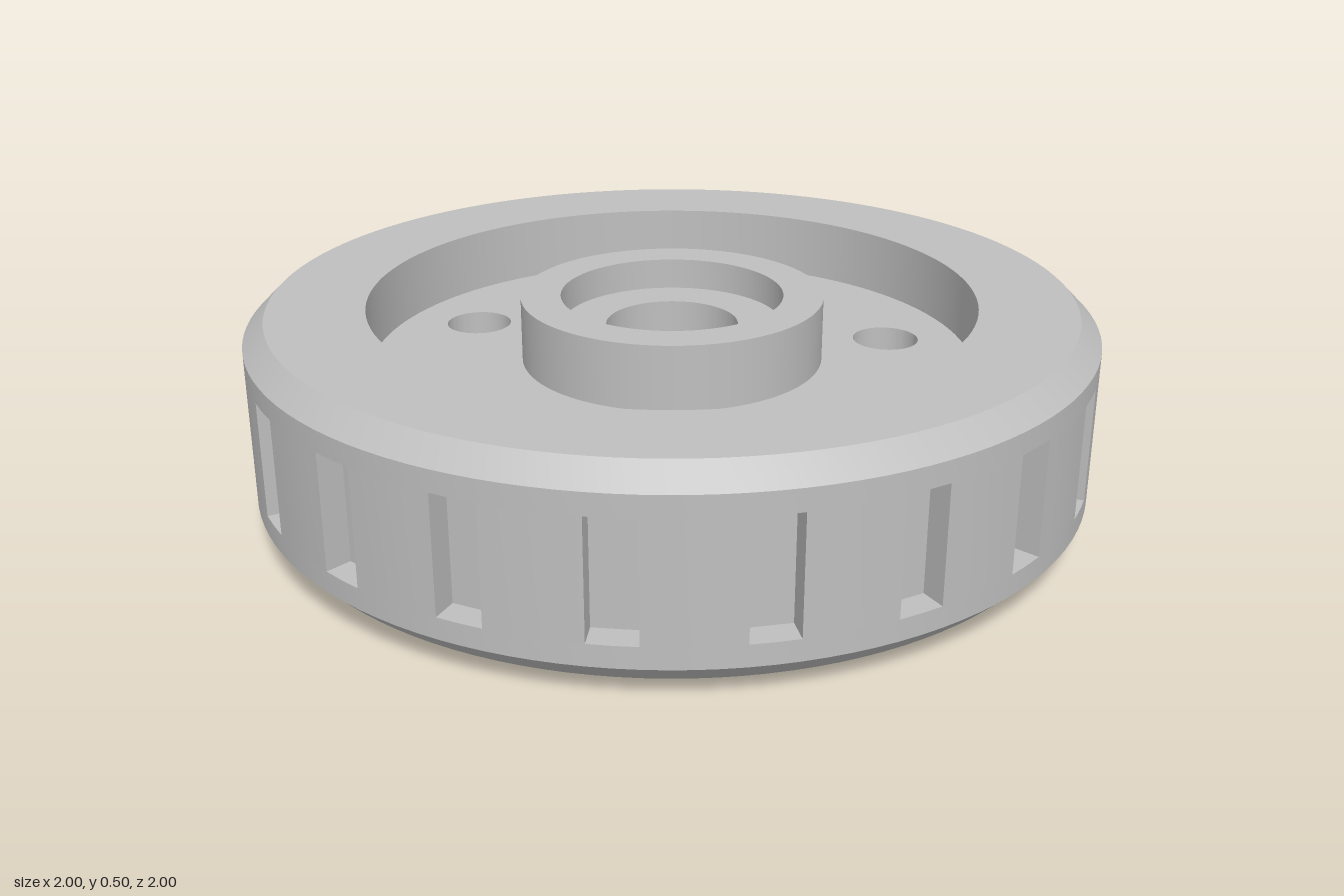
import * as THREE from 'three';
import { toCreasedNormals } from 'three/addons/utils/BufferGeometryUtils.js';

const SLOTS = 20, SEGMENTS = 120, CREASE = 0.5;
const SLOT_LOW = 0.135, SLOT_HIGH = 0.405, SLOT_FLOOR = 0.937;

// closed or open profile of [radius, height] pairs, spun about y
function spin(profile) {
  const points = profile.map(([r, y]) => new THREE.Vector2(r, y));
  return toCreasedNormals(new THREE.LatheGeometry(points, SEGMENTS), CREASE);
}

// flat shape raised from y = low to y = high
function raise(shape, low, high) {
  const g = new THREE.ExtrudeGeometry(shape, { depth: high - low, bevelEnabled: false, curveSegments: 30 });
  g.rotateX(-Math.PI / 2);
  g.translate(0, low, 0);
  return toCreasedNormals(g, CREASE);
}

function circleHole(x, y, r) {
  return new THREE.Path().absarc(x, y, r, 0, Math.PI * 2, true);
}

// outline of the tread band: arcs between parallel-sided, flat-floored slots
function slottedShape() {
  const pitch = Math.PI * 2 / SLOTS, half = Math.PI / 60;
  const halfWidth = Math.sin(half), points = [];
  for (let i = 0; i < SLOTS; i++) {
    const a = i * pitch, c = Math.cos(a), s = Math.sin(a);
    for (const w of [-halfWidth, halfWidth]) {
      points.push(new THREE.Vector2(SLOT_FLOOR * c - w * s, SLOT_FLOOR * s + w * c));
    }
    for (let k = 0; k <= 4; k++) {
      const b = a + half + (pitch - 2 * half) * k / 4;
      points.push(new THREE.Vector2(Math.cos(b), Math.sin(b)));
    }
  }
  const shape = new THREE.Shape(points);
  shape.holes.push(circleHole(0, 0, 0.85));
  return shape;
}

// disc between rim and hub with five round holes
function webShape() {
  const shape = new THREE.Shape().absarc(0, 0, 0.74, 0, Math.PI * 2, false);
  shape.holes.push(circleHole(0, 0, 0.34));
  for (let i = 0; i < 5; i++) {
    const a = i * Math.PI * 2 / 5;
    shape.holes.push(circleHole(0.54 * Math.cos(a), 0.54 * Math.sin(a), 0.08));
  }
  return shape;
}

export function createModel() {
  const group = new THREE.Group();
  group.name = 'wheel';
  const grey = new THREE.MeshStandardMaterial({ color: 0xbfbfbf });
  grey.name = 'grey';

  const add = (name, geometry) => {
    const mesh = new THREE.Mesh(geometry, grey);
    mesh.name = name;
    group.add(mesh);
  };

  // chamfered rim, with ledges closing the slot ends
  add('rim', spin([
    [0.9, SLOT_HIGH], [1, SLOT_HIGH], [1, 0.455], [0.95, 0.505], [0.72, 0.505],
    [0.72, 0.035], [0.95, 0.035], [1, 0.085], [1, SLOT_LOW], [0.9, SLOT_LOW],
  ]));
  add('slottedBand', raise(slottedShape(), SLOT_LOW, SLOT_HIGH));
  add('web', raise(webShape(), 0.195, 0.35));
  // hub with through bore and a counterbore on top
  add('hub', spin([
    [0.158, 0], [0.36, 0], [0.36, 0.505], [0.265, 0.505],
    [0.265, 0.43], [0.158, 0.43], [0.158, 0],
  ]));
  return group;
}
